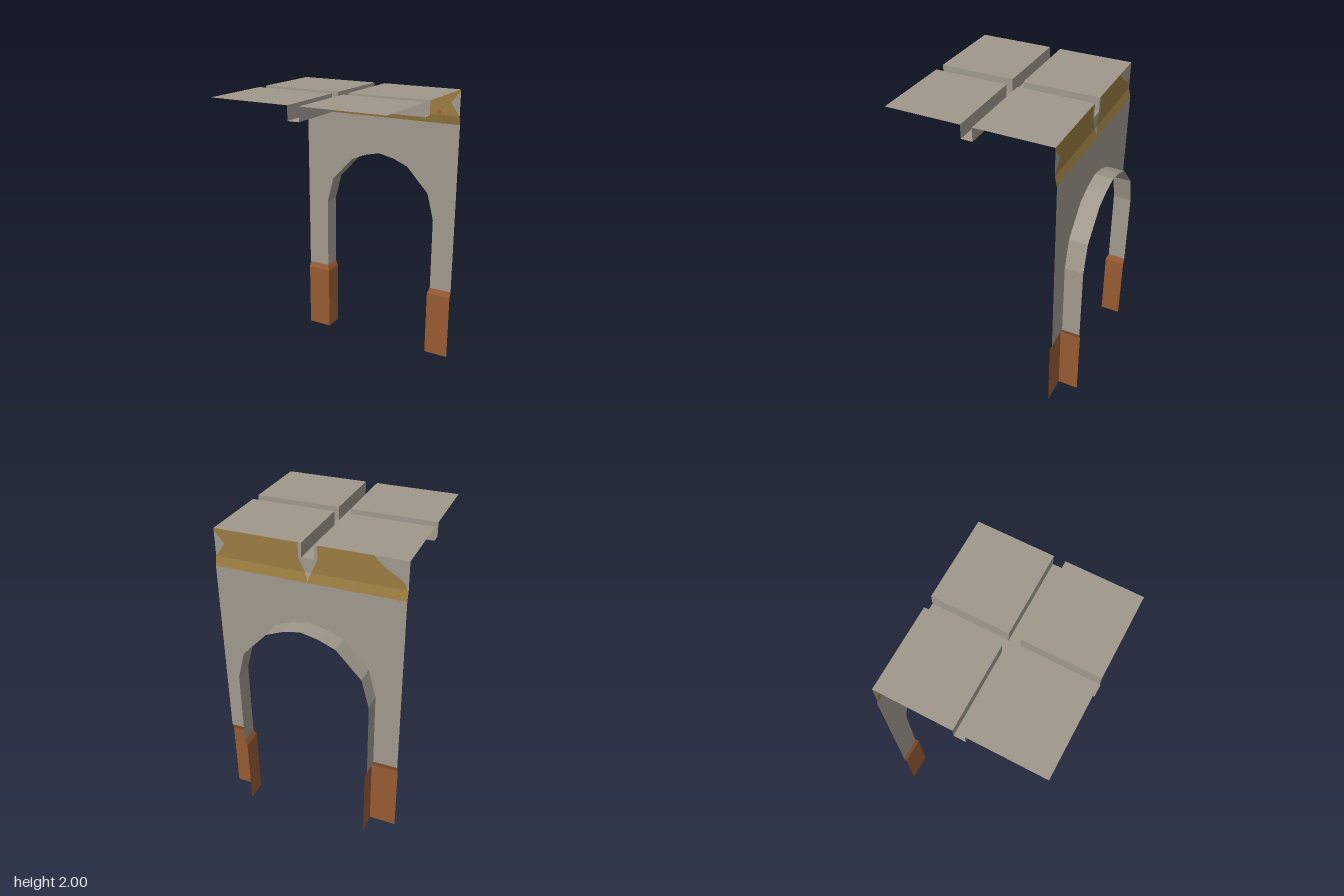
import * as THREE from 'three';
import { mergeGeometries } from 'three/addons/utils/BufferGeometryUtils.js';

const W = 0.605;                       // half width
const WALL = -0.487, FRONT = -0.472, BACK = -0.61;
const SLOPE0 = 1.76, SLOPE1 = 1.82;    // sloped band of the wall
const TOP = 2, FLOOR = 1.91, GAP = 0.04;

// Flat four-sided panel, corners anticlockwise from its front
function quad(a, b, c, d) {
  const g = new THREE.BufferGeometry();
  g.setAttribute('position', new THREE.Float32BufferAttribute([a, b, c, a, c, d].flat(), 3));
  g.computeVertexNormals();
  return g;
}

// Upright sheet from an outline; it steps forward across the sloped band
function sheet(points, offset = 0) {
  const g = new THREE.ShapeGeometry(new THREE.Shape(points.map(([x, y]) => new THREE.Vector2(x, y))));
  const p = g.attributes.position;
  for (let i = 0; i < p.count; i++) {
    const t = THREE.MathUtils.clamp((p.getY(i) - SLOPE0) / (SLOPE1 - SLOPE0), 0, 1);
    p.setZ(i, THREE.MathUtils.lerp(WALL, FRONT, t) + offset);
  }
  g.computeVertexNormals();
  return g;
}

// Level rectangle facing up
const level = (x0, x1, z0, z1, y) => quad([x0, y, z1], [x1, y, z1], [x1, y, z0], [x0, y, z0]);
const mirror = (pts) => pts.map(([x, y]) => [-x, y]).reverse();

export function createModel() {
  const model = new THREE.Group();
  model.name = 'archway';
  const material = (name, color) => {
    const m = new THREE.MeshStandardMaterial({ color, side: THREE.DoubleSide });
    m.name = name;
    return m;
  };
  const stone = material('stone', 0xa0988c);
  const mustard = material('mustard', 0x997c41);
  const rust = material('rust', 0x975b33);
  const add = (name, mat, geometries) => {
    const mesh = new THREE.Mesh(mergeGeometries(geometries), mat);
    mesh.name = name;
    model.add(mesh);
  };

  // Wall with the arched opening
  const half = [[0.44, 0.53], [0.44, 1.06], [0.39, 1.25], [0.225, 1.425], [0.115, 1.47]];
  const arch = [...half, [0, 1.495], ...mirror(half)];
  add('wall', stone, [sheet([[-W, 0.53], [-W, SLOPE0], [W, SLOPE0], [W, 0.53], ...arch])]);

  // Lining of the arch, running back from the wall
  add('archLining', stone, arch.slice(1).map(([x, y], i) => {
    const [px, py] = arch[i];
    return quad([px, py, WALL], [px, py, BACK], [x, y, BACK], [x, y, WALL]);
  }));

  // Worn paint along the top of the wall
  const bandHalf = [[0, SLOPE0], [W, SLOPE0], [W, SLOPE1], [0.02, SLOPE1], [0, 1.77]];
  add('paintedBand', mustard, [sheet(bandHalf), sheet(mirror(bandHalf))]);
  const rightEdge = [[W, SLOPE1], [0.575, 1.86], [0.54, 1.91], [W, 1.985]];
  const leftEdge = [[-0.40, TOP], [-0.46, 1.94], [-0.53, 1.90], [-0.585, 1.86], [-0.595, SLOPE1]];
  add('paintedPanels', mustard, [
    sheet([[0.02, SLOPE1], ...rightEdge, [W, TOP], [0.06, TOP], [0.06, FLOOR]]),
    sheet([[-0.02, SLOPE1], [-0.06, FLOOR], [-0.06, TOP], ...leftEdge]),
  ]);

  // Bare stone where the paint is gone
  const notchHalf = [[0.02, SLOPE1], [0.06, FLOOR], [0.06, TOP], [GAP, TOP], [GAP, FLOOR]];
  add('bareStone', stone, [
    sheet(rightEdge),
    sheet([...leftEdge, [-W, SLOPE1], [-W, TOP]]),
    sheet([...notchHalf, ...mirror(notchHalf)]),
    sheet([[0, 1.77], [0.02, SLOPE1], [-0.02, SLOPE1]]),
  ]);

  // Small rust chips in the paint
  add('rustChips', rust, [-0.145, 0.46].map((x) => sheet(
    [[x - 0.01, 1.83], [x + 0.01, 1.83], [x + 0.01, 1.85], [x - 0.01, 1.85]], 0.003)));

  // Leg casings: front and inner panels, each with a bevel up to the wall
  for (const s of [1, -1]) {
    const face = (...c) => {
      const pts = c.map(([x, y, z]) => [x * s, y, z]);
      return quad(...(s > 0 ? pts : pts.reverse()));
    };
    const inner = 0.425, y = 0.49, top = 0.53;
    add(s > 0 ? 'leftLeg' : 'rightLeg', rust, [
      face([inner, 0, FRONT], [W, 0, FRONT], [W, y, FRONT], [inner, y, FRONT]),
      face([inner, 0, BACK], [inner, 0, FRONT], [inner, y, FRONT], [inner, y, BACK]),
      face([inner, y, FRONT], [W, y, FRONT], [W, top, WALL], [0.44, top, WALL]),
      face([inner, y, BACK], [inner, y, FRONT], [0.44, top, WALL], [0.44, top, BACK]),
    ]);
  }

  // Roof: four slabs with turned-down edges along a cross of channels
  const z1 = 0.03, z2 = 0.105;
  const slabs = [], edges = [];
  for (const [x0, x1] of [[-W, -GAP], [GAP, W]]) {
    const xe = x0 < 0 ? x1 : x0;
    for (const [a, b] of [[FRONT, z1], [z2, W]]) {
      slabs.push(level(x0, x1, a, b, TOP));
      edges.push(x0 < 0
        ? quad([xe, FLOOR, b], [xe, FLOOR, a], [xe, TOP, a], [xe, TOP, b])
        : quad([xe, FLOOR, a], [xe, FLOOR, b], [xe, TOP, b], [xe, TOP, a]));
    }
    edges.push(quad([x0, FLOOR, z1], [x1, FLOOR, z1], [x1, TOP, z1], [x0, TOP, z1]));
    edges.push(quad([x1, FLOOR, z2], [x0, FLOOR, z2], [x0, TOP, z2], [x1, TOP, z2]));
  }
  add('roofSlabs', stone, slabs);
  add('channelSides', stone, edges);
  add('channelFloors', stone, [
    level(-GAP, GAP, FRONT, 0.61, FLOOR),
    level(-W, -GAP, z1, z2, FLOOR),
    level(GAP, W, z1, z2, FLOOR),
  ]);

  return model;
}
